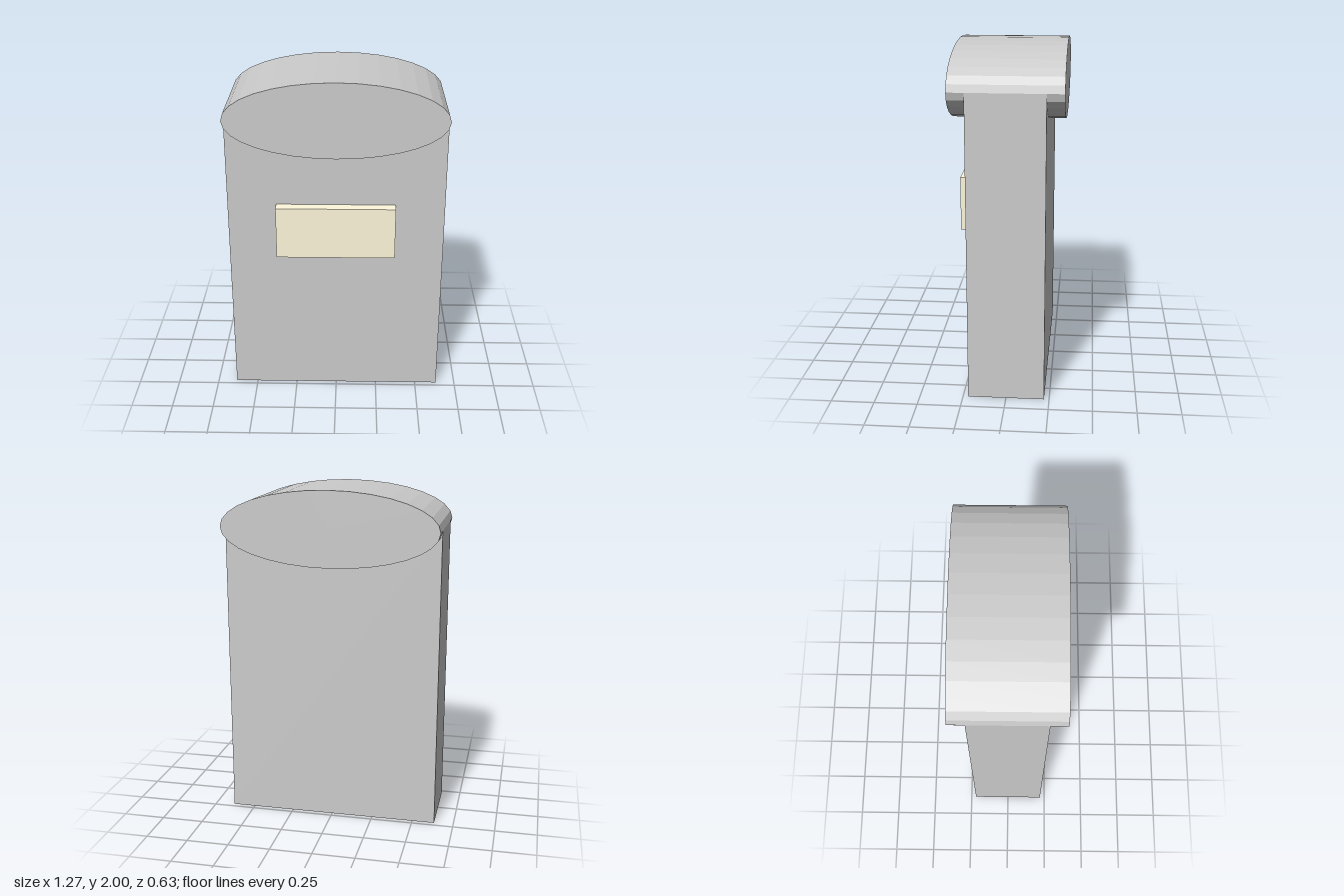
import * as THREE from 'three';

export function createModel() {
  const group = new THREE.Group();
  const grey = new THREE.MeshStandardMaterial({ color: 0xcccccc, flatShading: true });
  const cream = new THREE.MeshStandardMaterial({ color: 0xfff8dc, flatShading: true });

  const add = (name, geometry, material, x, y, z) => {
    const mesh = new THREE.Mesh(geometry, material);
    mesh.name = name;
    mesh.position.set(x, y, z);
    group.add(mesh);
  };

  const halfWidth = 0.634, lidRadius = 0.22, lidY = 1.78;

  // Upright slab body, its top hidden inside the lid
  add('body', new THREE.BoxGeometry(halfWidth * 2, lidY, 0.44), grey, 0, lidY / 2, 0);

  // Elliptical lid: a cylinder laid front to back and flattened
  const lid = new THREE.CylinderGeometry(1, 1, 0.634, 32);
  lid.rotateX(Math.PI / 2);
  lid.scale(halfWidth, lidRadius, 1);
  add('lid', lid, grey, 0, lidY, 0);

  // Raised plate on the front
  add('frontPlate', new THREE.BoxGeometry(0.696, 0.314, 0.125), cream, -0.002, 1.082, 0.223);

  return group;
}
